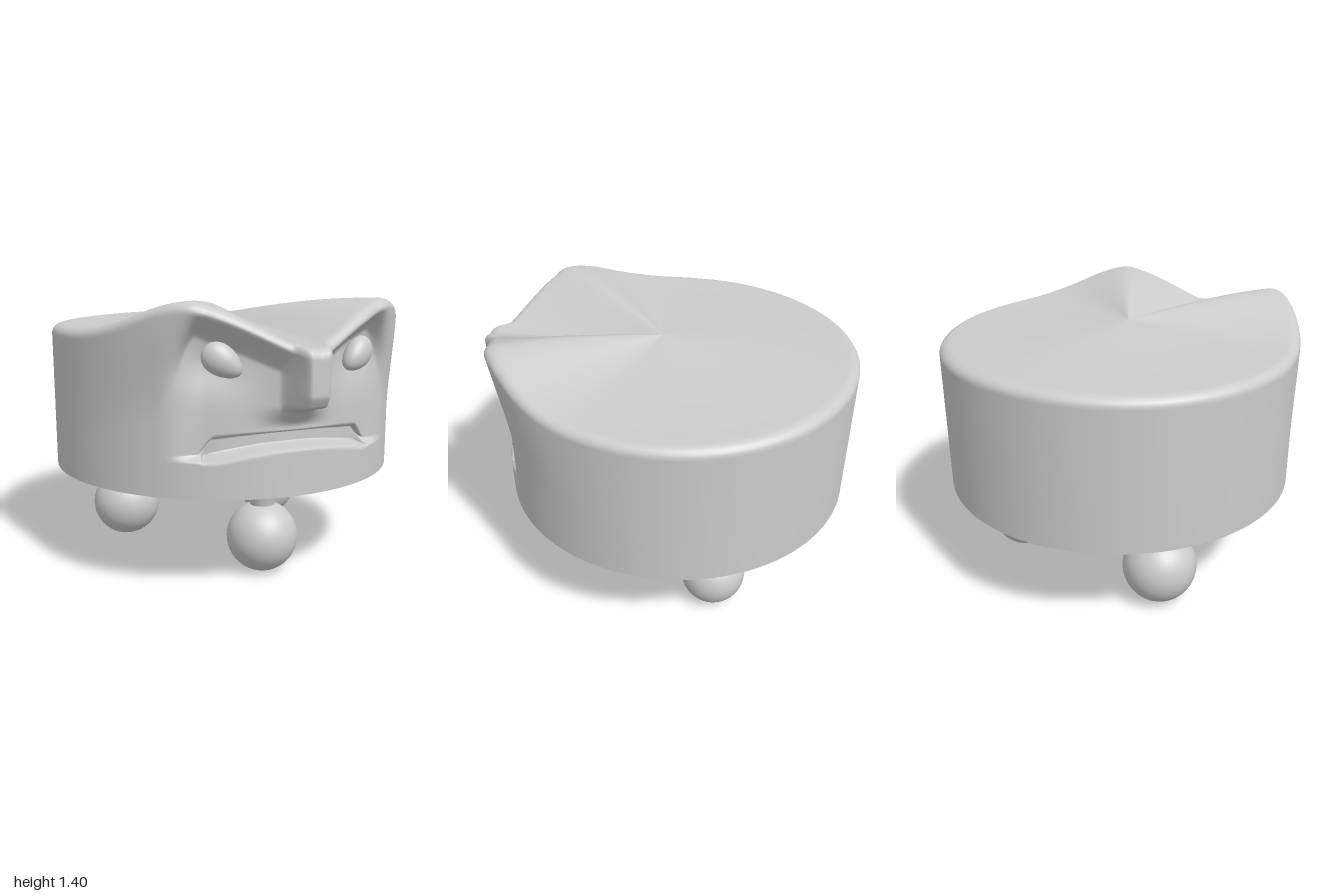
import * as THREE from 'three';

const material = new THREE.MeshStandardMaterial({ color: 0xcccccc });
const R = 0.915, CZ = -0.085, BOTTOM = 0.505, EDGE = 0.045, PEAK = 1.31;

// smooth step from a to b (also works when a > b)
function ss(a, b, x) {
  const t = Math.min(1, Math.max(0, (x - a) / (b - a)));
  return t * t * (3 - 2 * t);
}
const bump = (x, y, sx, sy) => Math.exp(-((x / sx) ** 2) - (y / sy) ** 2);

// smooth one-dimensional curve through [x, value] points
function curve(pts) {
  return x => {
    let i = 0;
    while (i < pts.length - 2 && x > pts[i + 1][0]) i++;
    const [x0, a] = pts[i], [x1, b] = pts[i + 1];
    const slope = k => {
      const p = pts[Math.max(0, k - 1)], q = pts[Math.min(pts.length - 1, k + 1)];
      return (q[1] - p[1]) / (q[0] - p[0]);
    };
    const h = x1 - x0, t = Math.min(1, Math.max(0, (x - x0) / h)), t2 = t * t, t3 = t2 * t;
    return (2 * t3 - 3 * t2 + 1) * a + (t3 - 2 * t2 + t) * h * slope(i)
      + (3 * t2 - 2 * t3) * b + (t3 - t2) * h * slope(i + 1);
  };
}

// rim height and forward bulge of the brow, by distance from the middle
const rimHeight = curve([[0, 1.2], [0.07, 1.215], [0.3, 1.325], [0.45, 1.385], [0.54, 1.4],
  [0.65, 1.37], [0.75, 1.315], [0.85, 1.268], [0.915, 1.255]]);
const browBulge = curve([[0, 0.15], [0.15, 0.11], [0.3, 0.088], [0.5, 0.08], [0.65, 0.06], [0.8, 0.035], [0.915, 0]]);

// lower and upper edge of the mouth
function mouthEdges(x) {
  const m = Math.min(x, 0.45);
  const low = 0.73 - 0.05 * (m / 0.42) ** 2;
  const width = (0.07 + 0.015 * (m / 0.3) ** 2) * (1 - 0.65 * ss(0.37, 0.45, m));
  return [low, low + width];
}

// forward offset of the face from the plain cylinder
function relief(x, y, rim, low, high) {
  const browDepth = 0.15 + 0.38 * ss(0.44, 0.62, x);
  const under = ss(0, browDepth, rim - y);
  const inner = ss(0.6, 0.4, x);
  let d = browBulge(x) * (1 - under);
  d -= 0.055 * inner * under * ss(low, high, y);
  d -= 0.04 * bump(x - 0.36, y - 1.13, 0.14, 0.13) * under;
  // swelling around the nose, then the nose itself
  d += 0.08 * Math.exp(-((x / 0.13) ** 2)) * ss(0.82, 0.93, y) * under;
  const nose = ss(0.1, 0.045, x) * ss(0.9, 0.945, y);
  d += (0.135 + 0.033 * ss(0.92, 1.0, y) - d) * nose;
  // mouth slot
  const q = (y - low) / (high - low);
  const slot = ss(-0.12, 0.16, q) * ss(1.06, 0.86, q) * ss(0.45, 0.405, x);
  return d + (-0.125 + 0.03 * ss(0.1, 0.4, x) - d) * slot;
}

// closed wall with relief, rounded rim and a top rising from the centre
function bodyGeometry() {
  const angles = [];
  for (let i = 0; i < 40; i++) angles.push(-Math.PI + (Math.PI - 0.75) * i / 40);
  for (let i = 0; i < 180; i++) angles.push(-0.75 + 1.5 * i / 180);
  for (let i = 0; i < 40; i++) angles.push(0.75 + (Math.PI - 0.75) * i / 40);
  const columns = angles.map(a => {
    const sx = R * Math.sin(a), x = Math.abs(sx), front = Math.cos(a) > 0;
    const rim = front ? rimHeight(x) : 1.255 + 0.015 * ss(0.9, 0, x);
    const [low, high] = mouthEdges(front ? x : R);
    const ys = [], column = [];
    for (let j = 0; j < 12; j++) ys.push(BOTTOM + (low - BOTTOM) * Math.sin(j / 12 * Math.PI / 2));
    for (let j = 0; j < 18; j++) ys.push(low + (high - low) * j / 18);
    for (let j = 0; j <= 60; j++) ys.push(high + (rim - EDGE - high) * j / 60);
    const at = y => CZ + R * Math.cos(a) + (front ? relief(x, y, rim, low, high) : 0);
    for (const y of ys) column.push([sx, y, at(y)]);
    const ez = at(rim - EDGE);
    for (let j = 1; j <= 6; j++) {
      const p = j / 6 * Math.PI / 2, k = 1 - 0.06 * (1 - Math.cos(p));
      column.push([sx * k, rim - EDGE + EDGE * Math.sin(p), ez * k]);
    }
    for (let j = 1; j <= 20; j++) {
      const t = 1 - j / 20;
      column.push([sx * 0.94 * t, PEAK + (rim - PEAK) * Math.sin(t * Math.PI / 2), ez * 0.94 * t]);
    }
    return column;
  });
  const n = columns.length, rows = columns[0].length, index = [];
  for (let i = 0; i < n; i++) {
    const a = i * rows, b = ((i + 1) % n) * rows;
    for (let j = 0; j < rows - 1; j++) {
      index.push(a + j, b + j, b + j + 1);
      if (j < rows - 2) index.push(a + j, b + j + 1, a + j + 1);
    }
  }
  const g = new THREE.BufferGeometry();
  g.setAttribute('position', new THREE.Float32BufferAttribute(columns.flat(2), 3));
  g.setIndex(index);
  g.computeVertexNormals();
  return g;
}

function add(parent, name, geometry, x = 0, y = 0, z = 0) {
  const mesh = new THREE.Mesh(geometry, material);
  mesh.name = name;
  mesh.position.set(x, y, z);
  parent.add(mesh);
  return mesh;
}

// flared stem on a ball foot
function addLeg(parent, name, x, z, r) {
  const leg = new THREE.Group();
  leg.name = name;
  leg.position.set(x, 0, z);
  const neck = 2 * r - 0.03;
  const profile = [[0.062, neck - 0.02], [0.063, neck + 0.02], [0.082, 0.43], [0.097, 0.485], [0.112, 0.5], [0.14, 0.507]];
  add(leg, 'stem', new THREE.LatheGeometry(profile.map(p => new THREE.Vector2(...p)), 32));
  add(leg, 'ballFoot', new THREE.SphereGeometry(r, 40, 28), 0, r, 0);
  parent.add(leg);
}

export function createModel() {
  const model = new THREE.Group();
  model.name = 'faceStool';
  add(model, 'body', bodyGeometry());
  add(model, 'underside', new THREE.CircleGeometry(R, 96), 0, BOTTOM, CZ).rotation.x = Math.PI / 2;

  // slanted eyes, fuller towards the outer end
  for (const s of [1, -1]) {
    const geo = new THREE.SphereGeometry(1, 36, 24);
    const p = geo.attributes.position;
    for (let i = 0; i < p.count; i++) {
      const x = p.getX(i);
      p.setXYZ(i, s * x * 0.102, p.getY(i) * 0.07 * (1 + 0.2 * x), p.getZ(i) * 0.055);
    }
    if (s < 0) geo.setIndex(Array.from(geo.index.array).reverse());
    geo.computeVertexNormals();
    const eye = add(model, s > 0 ? 'leftEye' : 'rightEye', geo, s * 0.352, 1.138, 0.735);
    eye.rotation.set(0, s * 0.35, s * 0.6);
  }

  addLeg(model, 'frontLeg', 0, 0.44, 0.183);
  addLeg(model, 'backRightLeg', -0.475, -0.4, 0.19);
  addLeg(model, 'backLeftLeg', 0.452, -0.4, 0.17);
  return model;
}
